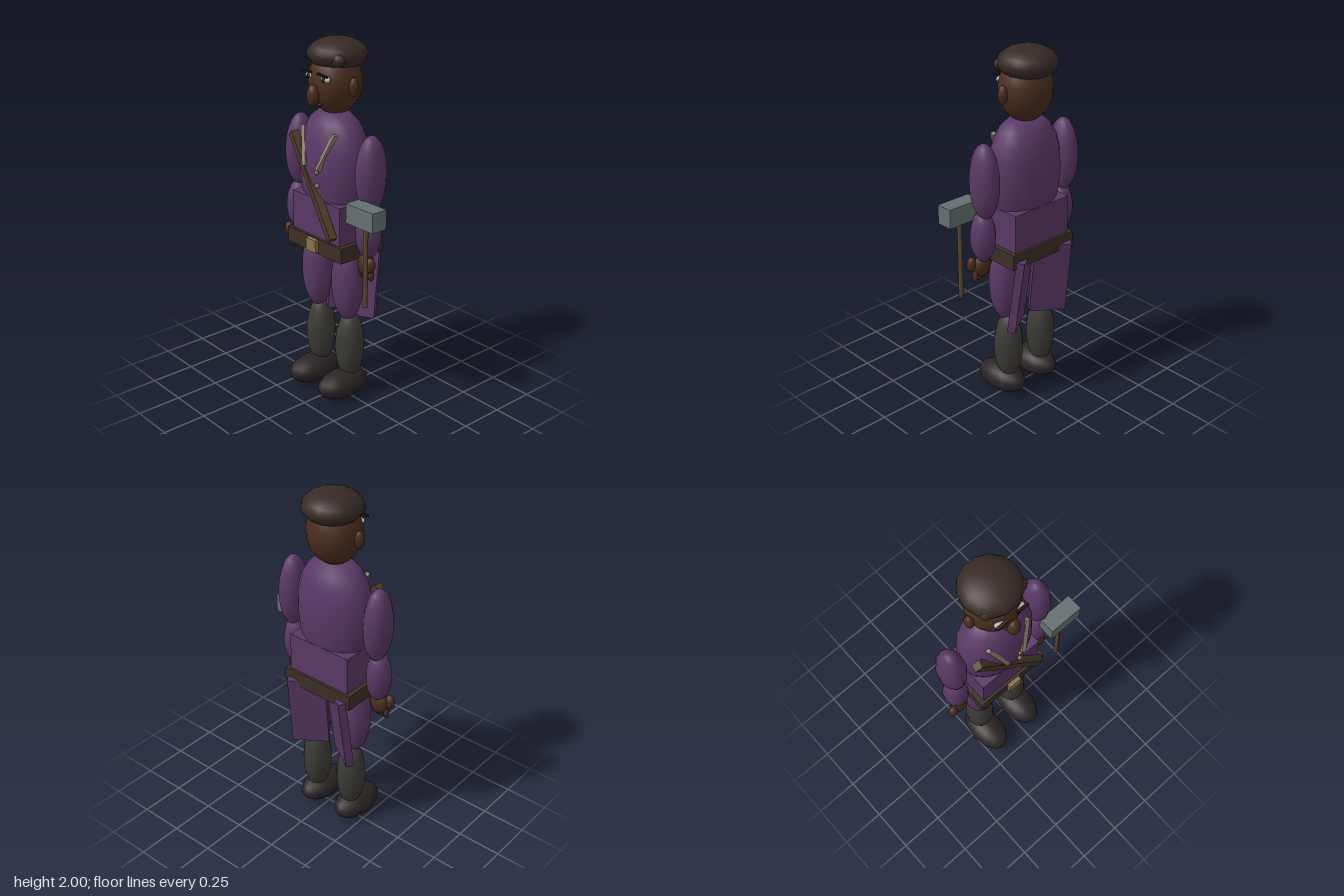
import * as THREE from 'three';

const mat = (color) => new THREE.MeshStandardMaterial({ color, side: THREE.DoubleSide });
const M = {
  coat: mat(0x5a3866), skin: mat(0x4a2d1f), hair: mat(0x362a25), sock: mat(0x3d3b36),
  shoe: mat(0x2b2524), belt: mat(0x3b2f26), brass: mat(0x8a734a), steel: mat(0x647070),
  wood: mat(0x5c4632), strap: mat(0x4c3a2a), trim: mat(0x8a8068), white: mat(0xb8b8b4), dark: mat(0x1c1715),
};

export function createModel() {
  const model = new THREE.Group();
  model.name = 'workman';
  // The body stands slightly off centre to balance the hammer
  const body = new THREE.Group();
  body.name = 'body';
  body.position.x = -0.05;
  model.add(body);

  const add = (name, geometry, material, p, parent = body) => {
    const mesh = new THREE.Mesh(geometry, material);
    mesh.name = name;
    mesh.position.set(...p);
    parent.add(mesh);
    return mesh;
  };
  // Ellipsoid from centre and three radii
  const blob = (name, m, p, r, seg = 12) => {
    const mesh = add(name, new THREE.SphereGeometry(1, seg, 14), m, p);
    mesh.scale.set(...r);
    return mesh;
  };
  const box = (name, m, p, s, parent) => add(name, new THREE.BoxGeometry(...s), m, p, parent);
  // Bar of section w x d running from a to b
  const bar = (name, m, a, b, w, d) => {
    const A = new THREE.Vector3(...a), B = new THREE.Vector3(...b);
    const dir = B.clone().sub(A);
    const mid = A.clone().add(B).multiplyScalar(0.5);
    const mesh = box(name, m, mid.toArray(), [w, dir.length(), d]);
    mesh.quaternion.setFromUnitVectors(new THREE.Vector3(0, 1, 0), dir.normalize());
    return mesh;
  };

  // Torso
  const profile = [[0, 0.98], [0.11, 1.0], [0.175, 1.09], [0.21, 1.2], [0.222, 1.32], [0.217, 1.42],
    [0.195, 1.5], [0.155, 1.57], [0.1, 1.615], [0, 1.63]].map(([r, y]) => new THREE.Vector2(r, y));
  add('torso', new THREE.LatheGeometry(profile, 16), M.coat, [0, 0, -0.015]).scale.z = 0.7;
  box('coatWaist', M.coat, [0, 1.005, -0.018], [0.385, 0.305, 0.265]);
  box('belt', M.belt, [0, 0.902, -0.018], [0.44, 0.086, 0.296]);
  box('buckle', M.brass, [0, 0.905, 0.138], [0.078, 0.07, 0.03]);

  // Chest strap, lapels and buttons
  bar('chestStrap', M.strap, [-0.205, 1.475, 0.092], [0.17, 0.985, 0.147], 0.05, 0.042);
  for (const s of [-1, 1]) bar('lapel', M.trim, [s * 0.125, 1.53, 0.085], [s * 0.052, 1.335, 0.142], 0.026, 0.022);
  for (const y of [1.32, 1.245, 1.175, 1.1]) blob('button', M.brass, [0.037, y, 0.136], [0.013, 0.013, 0.013], 8);

  // Head
  blob('head', M.skin, [0, 1.772, -0.022], [0.146, 0.172, 0.14], 18);
  blob('nose', M.skin, [0, 1.718, 0.128], [0.036, 0.058, 0.032]);
  blob('mouth', M.dark, [0, 1.667, 0.094], [0.035, 0.008, 0.012]);
  blob('hairCap', M.hair, [0, 1.915, -0.037], [0.158, 0.085, 0.158], 14);
  for (const [x, y, r] of [[-0.09, 1.905, 0.045], [-0.045, 1.912, 0.042], [0.02, 1.91, 0.05], [0.095, 1.905, 0.052]])
    blob('hairCurl', M.hair, [x, y, 0.085 - Math.abs(x) * 0.4], [r, 0.036, 0.035]);

  for (const s of [-1, 1]) {
    blob('ear', M.skin, [s * 0.152, 1.768, -0.015], [0.024, 0.05, 0.028]);
    blob('eye', M.white, [s * 0.06, 1.808, 0.095], [0.034, 0.017, 0.016]);
    blob('iris', M.dark, [s * 0.06, 1.808, 0.108], [0.013, 0.014, 0.006], 8);
    const brow = box('eyebrow', M.dark, [s * 0.062, 1.832, 0.118], [0.072, 0.01, 0.014]);
    brow.rotation.z = -s * 0.08;

    // Arm and hand
    blob('upperArm', M.coat, [s * 0.283, 1.337, -0.018], [0.073, 0.208, 0.091]);
    blob('forearm', M.coat, [s * 0.285, 1.025, -0.003], [0.068, 0.145, 0.072]);
    blob('palm', M.skin, [s * 0.285, 0.848, 0.012], [0.053, 0.062, 0.04]);
    blob('thumb', M.skin, [s * 0.338, 0.865, 0.03], [0.028, 0.042, 0.026], 10);
    for (let i = 0; i < 4; i++)
      blob('finger', M.skin, [s * (0.25 + i * 0.026), 0.8, 0.015], [0.013, 0.034, 0.02], 8);

    // Leg
    blob('thigh', M.coat, [s * 0.124, 0.705, 0.0], [0.096, 0.24, 0.085]);
    blob('shin', M.sock, [s * 0.123, 0.305, -0.02], [0.081, 0.205, 0.084]);
    blob('shoe', M.shoe, [s * 0.123, 0.079, 0.033], [0.096, 0.079, 0.164]);

    // Rear coat tail
    bar('coatTail', M.coat, [s * 0.102, 0.9, -0.13], [s * 0.118, 0.465, -0.075], 0.204, 0.045);
  }

  // Hammer beside the left hand
  const hammer = new THREE.Group();
  hammer.name = 'hammer';
  model.add(hammer);
  add('hammerHandle', new THREE.CylinderGeometry(0.013, 0.013, 0.46, 8), M.wood, [0.315, 0.885, 0.09], hammer);
  box('hammerHead', M.steel, [0.315, 1.162, 0.09], [0.2, 0.106, 0.094], hammer);
  return model;
}
